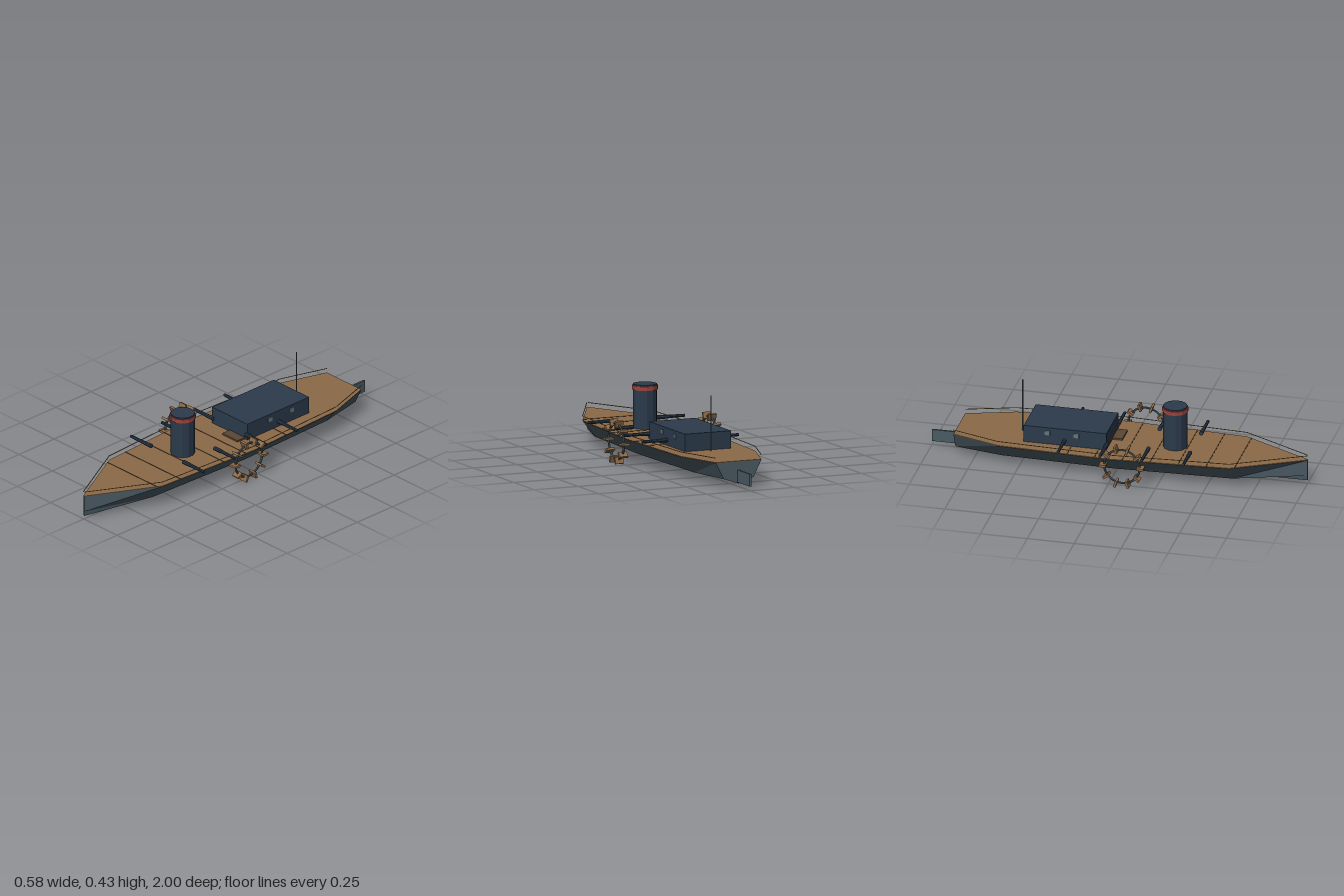
import * as THREE from 'three';

const mat = (name, color, extra = {}) => {
  const m = new THREE.MeshStandardMaterial({ color, flatShading: true, ...extra });
  m.name = name;
  return m;
};

// half-sections from stern to bow: z, deck half width, chine half width
const SECTIONS = [
  [-0.855, 0.13, 0.085],
  [-0.6, 0.212, 0.135],
  [0.0, 0.238, 0.155],
  [0.63, 0.2, 0.13],
  [1.0, 0.004, 0.004],
];
const DECK = 0.135, CHINE = 0.048, KEEL = 0.02;

function hullGeometry() {
  const rings = SECTIONS.map(([z, w, c]) => [
    [w, DECK, z], [c, CHINE, z], [0, KEEL, z], [-c, CHINE, z], [-w, DECK, z],
  ]);
  const pos = [];
  const tri = (...pts) => pts.forEach((p) => pos.push(...p));
  for (let i = 0; i < rings.length - 1; i++) {
    for (let j = 0; j < 4; j++) {
      const a = rings[i][j], b = rings[i][j + 1], c = rings[i + 1][j + 1], d = rings[i + 1][j];
      tri(a, d, c);
      tri(a, c, b);
    }
  }
  // transom and stem caps
  const s = rings[0], e = rings[rings.length - 1];
  for (let j = 1; j < 4; j++) {
    tri(s[0], s[j], s[j + 1]);
    tri(e[0], e[j + 1], e[j]);
  }
  const g = new THREE.BufferGeometry();
  g.setAttribute('position', new THREE.Float32BufferAttribute(pos, 3));
  g.computeVertexNormals();
  return g;
}

// deck half width at a given z
function halfWidth(z) {
  for (let i = 0; i < SECTIONS.length - 1; i++) {
    const [z0, w0] = SECTIONS[i], [z1, w1] = SECTIONS[i + 1];
    if (z <= z1) return w0 + ((w1 - w0) * (z - z0)) / (z1 - z0);
  }
  return 0;
}

export function createModel() {
  const model = new THREE.Group();
  model.name = 'paddleGunboat';
  const steel = mat('hullSteel', 0x4a5a63);
  const navy = mat('darkNavy', 0x2b3a4b);
  const wood = mat('deckWood', 0x8b6a48);
  const darkWood = mat('darkWood', 0x5c4636);
  const seamMat = mat('seamBrown', 0x4a3726);
  const red = mat('bandRed', 0x9c4339);
  const brass = mat('railBrass', 0x8a6d35);
  const glass = mat('windowGrey', 0x66757f);

  const add = (name, geo, material, x = 0, y = 0, z = 0, parent = model) => {
    const m = new THREE.Mesh(geo, material);
    m.name = name;
    m.position.set(x, y, z);
    parent.add(m);
    return m;
  };
  const box = (name, material, w, h, d, x, y, z, parent) =>
    add(name, new THREE.BoxGeometry(w, h, d), material, x, y, z, parent);

  // hull, rudder
  add('hull', hullGeometry(), steel);
  box('rudder', steel, 0.01, 0.065, 0.155, 0, 0.058, -0.9225);

  // deck plate following the hull outline
  const outline = [
    ...SECTIONS.map(([z, w]) => new THREE.Vector2(w, -z)),
    ...SECTIONS.map(([z, w]) => new THREE.Vector2(-w, -z)).reverse(),
  ];
  const deckGeo = new THREE.ExtrudeGeometry(new THREE.Shape(outline), { depth: 0.003, bevelEnabled: false });
  deckGeo.rotateX(-Math.PI / 2);
  add('deck', deckGeo, wood, 0, DECK, 0);

  // plank seams across the deck
  for (let i = 0; i < 7; i++) {
    const z = 0.655 - i * 0.147;
    box('deckSeam', seamMat, halfWidth(z) * 2, 0.002, 0.005, 0, 0.1385, z);
  }

  // side rails
  for (const side of [1, -1]) {
    const path = new THREE.CurvePath();
    const pts = SECTIONS.map(([z, w]) => new THREE.Vector3(side * w, 0.161, z));
    for (let i = 0; i < pts.length - 1; i++) path.add(new THREE.LineCurve3(pts[i], pts[i + 1]));
    path.curves.forEach((c) => add('sideRail', new THREE.TubeGeometry(c, 1, 0.0022, 6), brass));
  }

  // deckhouse with side windows and front step
  box('deckhouse', navy, 0.264, 0.093, 0.44, 0, 0.1835, -0.26);
  for (const side of [1, -1]) {
    for (const z of [-0.2, -0.355]) box('window', glass, 0.009, 0.024, 0.028, side * 0.132, 0.201, z);
  }
  box('hatchStep', darkWood, 0.115, 0.009, 0.055, 0.0575, 0.1425, -0.0145);

  // funnel with band
  const funnel = add('funnel', new THREE.CylinderGeometry(0.063, 0.063, 0.232, 12), navy, 0, 0.253, 0.295);
  const band = add('funnelBand', new THREE.CylinderGeometry(0.068, 0.068, 0.022, 12), red, 0, 0.351, 0.295);
  funnel.rotation.y = band.rotation.y = Math.PI / 12;

  // mast
  add('mast', new THREE.CylinderGeometry(0.003, 0.003, 0.292, 8), steel, 0, 0.282, -0.517);

  // broadside guns
  for (const side of [1, -1]) {
    for (const z of [0.403, 0.182, -0.04, -0.263]) {
      const gun = new THREE.Group();
      gun.name = 'gun';
      gun.position.set(side * 0.12, 0.166, z);
      gun.rotation.z = -side * Math.PI / 2;
      add('breech', new THREE.CylinderGeometry(0.0105, 0.0115, 0.05, 8), navy, 0, 0.025, 0, gun);
      add('barrel', new THREE.CylinderGeometry(0.008, 0.0095, 0.11, 8), navy, 0, 0.1, 0, gun);
      model.add(gun);
    }
  }

  // paddle wheels: a rim carrying ten boards
  for (const side of [1, -1]) {
    const wheel = new THREE.Group();
    wheel.name = 'paddleWheel';
    wheel.position.set(side * 0.265, 0.117, 0.075);
    const rim = add('wheelRim', new THREE.TorusGeometry(0.095, 0.006, 6, 20), steel, 0, 0, 0, wheel);
    rim.rotation.y = Math.PI / 2;
    for (let i = 0; i < 10; i++) {
      const a = (i / 10) * Math.PI * 2;
      const paddle = box('paddle', wood, 0.046, 0.036, 0.012, 0, Math.sin(a) * 0.1, Math.cos(a) * 0.1, wheel);
      paddle.rotation.x = Math.PI / 2 - a;
    }
    model.add(wheel);
  }

  return model;
}
